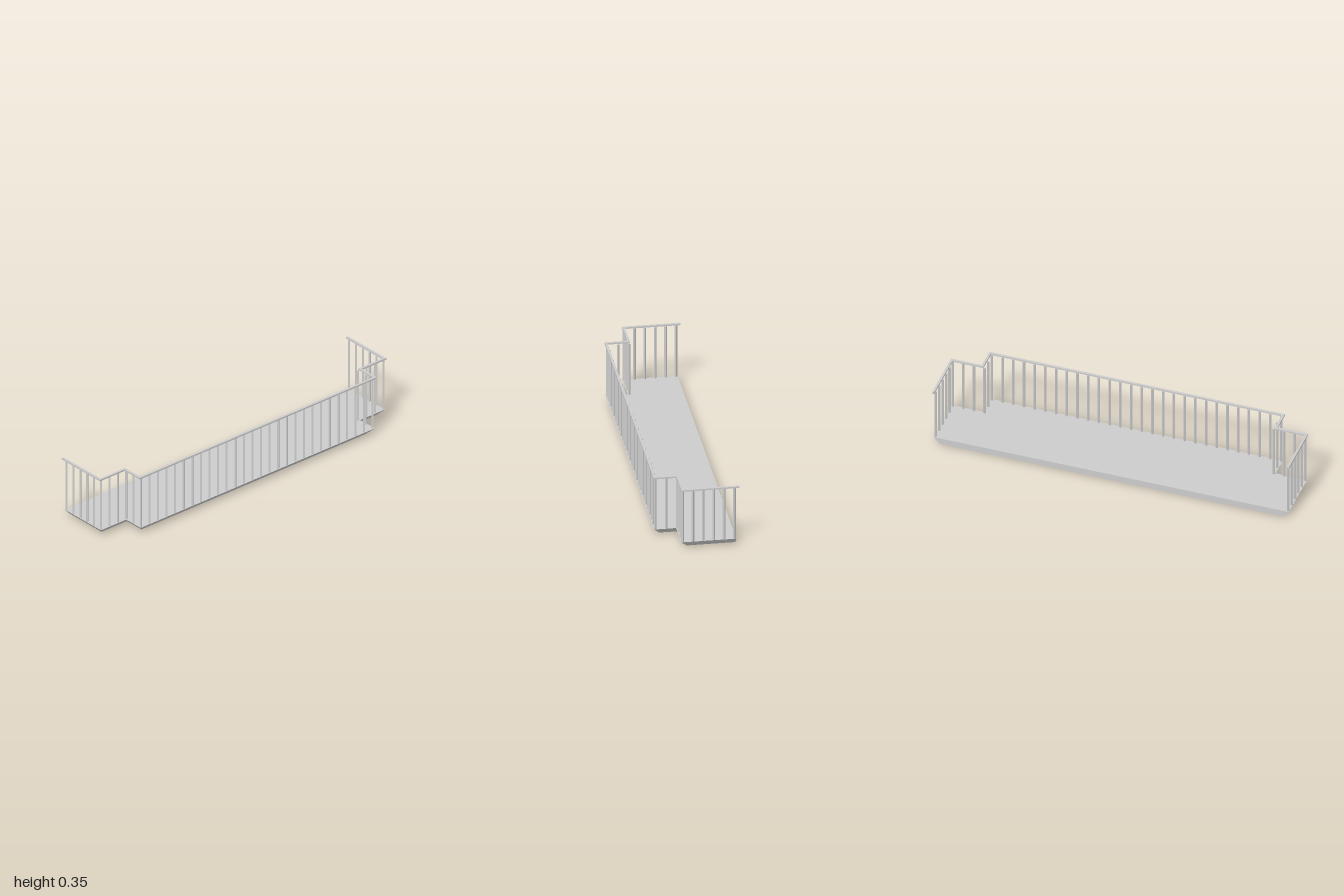
import * as THREE from 'three';

const material = new THREE.MeshStandardMaterial({ color: 0xcccccc, flatShading: true });

// Half of a stepped plan (x, z), continued by its mirror image to the other end
const bothEnds = (half) => [...half, ...half.map(([x, z]) => [x, -z]).reverse()];

// Flat plate with the given plan, reaching down from y = top
function plate(plan, top, height) {
  const shape = new THREE.Shape(plan.map(([x, z]) => new THREE.Vector2(x, z)));
  const geo = new THREE.ExtrudeGeometry(shape, { depth: height, bevelEnabled: false });
  return geo.rotateX(Math.PI / 2).translate(0, top, 0);
}

export function createModel() {
  const group = new THREE.Group();
  const add = (name, geo, parent = group) => {
    const mesh = new THREE.Mesh(geo, material);
    mesh.name = name;
    parent.add(mesh);
    return mesh;
  };

  const floorTop = 0.037, railBottom = 0.337, railHeight = 0.009;

  // Floor slab: the underside is drawn in on every side but the wall side
  const floorPlan = bothEnds([[-0.202, -0.994], [0.094, -0.994], [0.094, -0.818], [0.212, -0.818]]);
  const floor = plate(floorPlan, floorTop, floorTop);
  const pos = floor.attributes.position;
  const inset = 0.035;
  for (let i = 0; i < pos.count; i++) {
    if (pos.getY(i) > floorTop / 2) continue;
    if (pos.getX(i) > 0) pos.setX(i, pos.getX(i) - inset);
    pos.setZ(i, pos.getZ(i) - Math.sign(pos.getZ(i)) * inset);
  }
  floor.computeVertexNormals();
  add('floorSlab', floor);

  // Handrail: a narrow band that follows the stepped edge, open on the wall side
  const railWidth = 0.013;
  const outer = [[-0.217, -1], [0.094, -1], [0.094, -0.828], [0.216, -0.828]];
  const inner = outer.map(([x, z], i) => [i ? x - railWidth : x, z + railWidth]);
  const railPlan = [...bothEnds(outer), ...bothEnds(inner).reverse()];
  add('handrail', plate(railPlan, railBottom + railHeight, railHeight));

  // Balusters: square bars turned 45 degrees, evenly spaced along each run
  const balusters = new THREE.Group();
  balusters.name = 'balusters';
  group.add(balusters);
  const bar = new THREE.CylinderGeometry(0.0072, 0.0072, railBottom - floorTop, 4);
  // Start of each run (x, z) and the number of gaps to the next one
  const runs = [
    [-0.192, 0.987, 5], [0.086, 0.987, 3], [0.086, 0.81, 2], [0.204, 0.81, 27],
    [0.204, -0.81, 2], [0.086, -0.81, 3], [0.086, -0.987, 5], [-0.192, -0.987, 1],
  ];
  runs.forEach(([x, z, gaps], r) => {
    const [nextX, nextZ] = runs[r + 1] ?? [x, z];
    for (let i = 0; i < gaps; i++) {
      const t = i / gaps;
      add('baluster', bar, balusters).position.set(
        x + (nextX - x) * t, (floorTop + railBottom) / 2, z + (nextZ - z) * t);
    }
  });

  return group;
}
